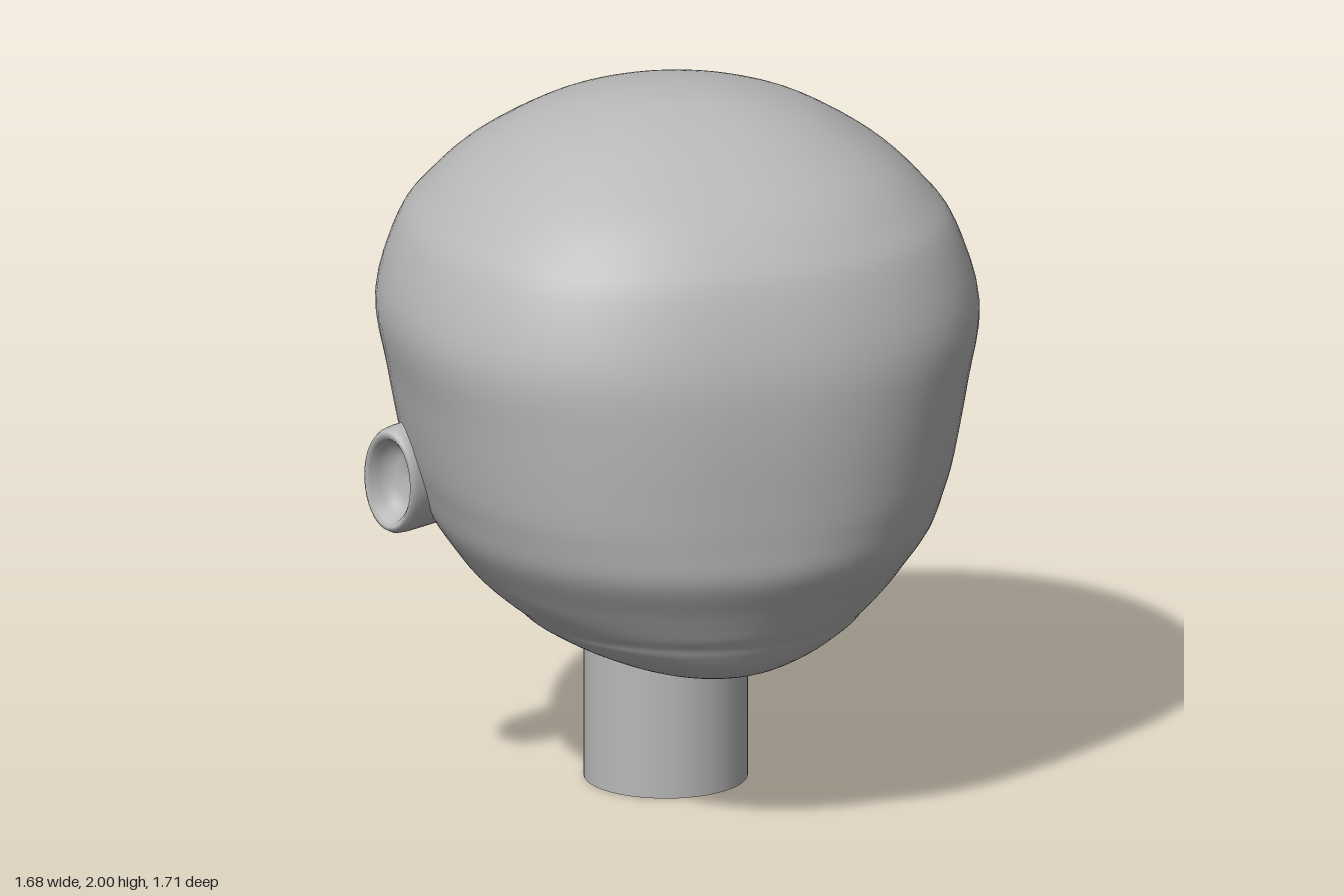
import * as THREE from 'three';

// Head cross-sections, top to bottom: y, half width, front z, back z, z of the widest point
const SECTIONS = [
  [2.0, 0, 0.08, 0.08, 0.08],
  [1.995, 0.1, 0.17, -0.02, 0.08],
  [1.98, 0.2, 0.24, -0.11, 0.07],
  [1.95, 0.31, 0.34, -0.24, 0.06],
  [1.9, 0.43, 0.45, -0.36, 0.06],
  [1.8, 0.585, 0.61, -0.53, 0.06],
  [1.7, 0.69, 0.71, -0.645, 0.06],
  [1.6, 0.76, 0.775, -0.73, 0.06],
  [1.4, 0.815, 0.84, -0.82, 0.07],
  [1.2, 0.78, 0.855, -0.85, 0.07],
  [1.0, 0.74, 0.85, -0.825, 0.07],
  [0.9, 0.71, 0.845, -0.79, 0.08],
  [0.8, 0.675, 0.835, -0.73, 0.09],
  [0.7, 0.61, 0.785, -0.645, 0.11],
  [0.65, 0.57, 0.76, -0.57, 0.13],
  [0.61, 0.525, 0.74, -0.44, 0.16],
  [0.58, 0.485, 0.72, -0.31, 0.19],
  [0.55, 0.45, 0.705, -0.25, 0.21],
  [0.5, 0.36, 0.67, -0.235, 0.22],
  [0.46, 0.26, 0.6, -0.22, 0.22],
  [0.445, 0.18, 0.5, -0.15, 0.22],
  [0.437, 0, 0.22, 0.22, 0.22],
];

// Rounded section loops, blunter toward the face, joined into a smooth closed skin
function headGeometry() {
  const widths = new THREE.CatmullRomCurve3(
    SECTIONS.map(([y, w, , , c]) => new THREE.Vector3(w, y, c)), false, 'catmullrom');
  const depths = new THREE.CatmullRomCurve3(
    SECTIONS.map(([y, , f, b]) => new THREE.Vector3(f, y, b)), false, 'catmullrom');
  const rows = (SECTIONS.length - 1) * 4, cols = 96;
  const positions = [], index = [];
  const power = (v, e) => Math.sign(v) * Math.abs(v) ** e;
  for (let i = 0; i <= rows; i++) {
    const { x: w, y, z: c } = widths.getPoint(i / rows);
    const { x: front, z: back } = depths.getPoint(i / rows);
    const blunt = 2 + 0.4 * THREE.MathUtils.smoothstep(y, 0.5, 1.0);
    for (let j = 0; j < cols; j++) {
      const a = (j / cols) * Math.PI * 2, s = Math.sin(a), k = Math.cos(a);
      const e = 2 / (k > 0 ? blunt : 2);
      const reach = k > 0 ? front - c : c - back;
      positions.push(w * power(s, e), y, c + reach * power(k, e));
      if (i === rows) continue;
      const p = i * cols + j, q = i * cols + (j + 1) % cols;
      if (i < rows - 1) index.push(p, p + cols, q + cols);
      if (i > 0) index.push(p, q + cols, q);
    }
  }
  const geometry = new THREE.BufferGeometry();
  geometry.setAttribute('position', new THREE.Float32BufferAttribute(positions, 3));
  geometry.setIndex(index);
  geometry.computeVertexNormals();
  // The pole rows are single points
  const normals = geometry.attributes.normal;
  for (let j = 0; j < cols; j++) {
    normals.setXYZ(j, 0, 1, 0);
    normals.setXYZ(rows * cols + j, 0, -1, 0);
  }
  return geometry;
}

// Oval cup with a rounded rim, opening along +z
function earGeometry() {
  const profile = [
    [1, -0.17], [1, -0.05], [0.98, -0.02], [0.92, -0.003], [0.85, 0],
    [0.77, -0.01], [0.7, -0.035], [0.6, -0.06], [0.4, -0.075], [0, -0.08],
  ].map(([r, h]) => new THREE.Vector2(r, h));
  return new THREE.LatheGeometry(profile, 40).rotateX(Math.PI / 2).scale(0.1, 0.153, 1);
}

export function createModel() {
  const group = new THREE.Group();
  const grey = new THREE.MeshStandardMaterial({ color: 0xb8b8b8 });
  grey.name = 'plain grey';

  const add = (name, geometry) => {
    const mesh = new THREE.Mesh(geometry, grey);
    mesh.name = name;
    group.add(mesh);
    return mesh;
  };

  add('head', headGeometry());

  const neck = add('neck', new THREE.CylinderGeometry(0.225, 0.225, 0.6, 48));
  neck.position.set(0, 0.3, -0.02);

  // Ears turned outward and a little forward
  for (const side of [1, -1]) {
    const ear = add(side > 0 ? 'leftEar' : 'rightEar', earGeometry());
    ear.position.set(side * 0.8, 0.915, -0.01);
    ear.rotation.y = side * 1.07;
  }
  return group;
}
